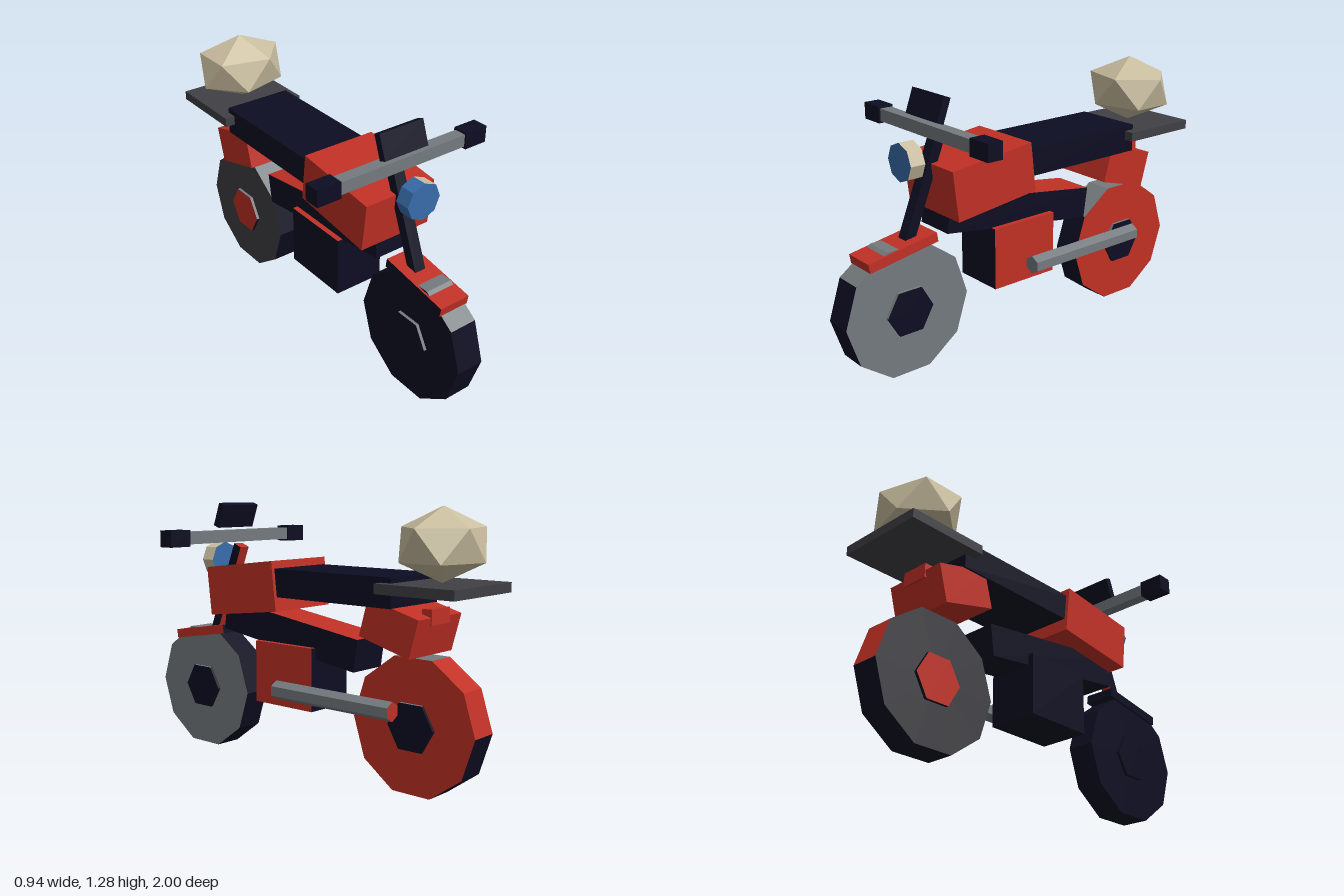
import * as THREE from 'three';
import { ConvexGeometry } from 'three/addons/geometries/ConvexGeometry.js';

const material = (name, color) => {
  const m = new THREE.MeshStandardMaterial({ color });
  m.name = name;
  return m;
};

export function createModel() {
  const model = new THREE.Group();
  model.name = 'motorcycle';

  const red = material('red', 0xc03025);
  const navy = material('navy', 0x0d0d22);
  const gray = material('gray', 0x747a7e);
  const darkGray = material('darkGray', 0x404045);
  const tan = material('tan', 0xcabe9f);
  const blue = material('blue', 0x386cab);

  const add = (name, geometry, mat, pos, tilt = 0) => {
    const mesh = new THREE.Mesh(geometry, mat);
    mesh.name = name;
    mesh.position.set(...pos);
    mesh.rotation.x = tilt;
    model.add(mesh);
    return mesh;
  };

  // box: one material, or six in the order +x, -x, +y, -y, +z, -z
  const box = (name, size, pos, mat, tilt) =>
    add(name, new THREE.BoxGeometry(...size), mat, pos, tilt);

  // faceted cylinder along x or z; sideMat(i) picks each side's material,
  // caps are [positive end, negative end]
  const prism = (name, radius, length, sides, axis, pos, sideMat, caps) => {
    const round = new THREE.CylinderGeometry(radius, radius, length, sides);
    const g = round.toNonIndexed();
    if (axis === 'x') g.rotateZ(-Math.PI / 2);
    else g.rotateX(Math.PI / 2);
    g.computeVertexNormals();
    g.clearGroups();
    const mats = [];
    for (let i = 0; i < sides; i++) {
      g.addGroup(i * 6, 6, i);
      mats.push(sideMat(i));
    }
    caps.forEach((cap, k) => {
      g.addGroup(sides * (6 + 3 * k), sides * 3, sides + k);
      mats.push(cap);
    });
    return add(name, g, mats, pos);
  };

  // wheels and hubs
  const hubSide = (i) => (i === 4 || i === 5 ? gray : navy);
  const frontTread = (i) => (i === 7 || i === 8 ? gray : navy);
  const rearTread = (i) => (i === 5 || i === 6 ? red : frontTread(i));
  prism('frontWheel', 0.325, 0.14, 10, 'x', [0, 0.31, 0.675], frontTread, [gray, navy]);
  prism('rearWheel', 0.325, 0.14, 10, 'x', [0, 0.31, -0.675], rearTread, [red, darkGray]);
  prism('frontHub', 0.122, 0.17, 6, 'x', [0, 0.31, 0.675], hubSide, [navy, navy]);
  prism('rearHub', 0.122, 0.17, 6, 'x', [0, 0.31, -0.675], hubSide, [navy, red]);

  // fenders and tail light
  box('frontFender', [0.16, 0.045, 0.365], [0, 0.6, 0.695],
    [red, navy, red, navy, red, navy], 0.165);
  box('rearFender', [0.33, 0.18, 0.28], [0, 0.754, -0.609], red, -0.27);
  box('tailLight', [0.14, 0.07, 0.05], [0, 0.805, -0.745], red);

  // chassis, engine and exhaust
  box('frame', [0.205, 0.155, 0.855], [0, 0.657, 0.042],
    [navy, navy, red, navy, navy, navy], -0.142);
  box('engine', [0.26, 0.305, 0.365], [0, 0.455, 0.0425],
    [red, navy, red, navy, navy, navy]);
  prism('exhaust', 0.045, 0.69, 6, 'z', [0.18, 0.395, -0.305], () => gray, [gray, red]);

  // tank, seat and rack
  box('tank', [0.385, 0.24, 0.448], [0, 0.866, 0.268], red, 0.118);
  box('seat', [0.35, 0.135, 0.71], [0, 0.9075, -0.275], navy);
  box('rack', [0.45, 0.045, 0.405], [0, 0.928, -0.777], darkGray);

  // steering: fork, handlebar, grips and dash
  box('fork', [0.058, 0.5, 0.05], [0, 0.83, 0.547],
    [navy, navy, red, navy, navy, red], -0.378);
  box('handlebar', [0.72, 0.06, 0.06], [0, 1.11, 0.49], gray);
  for (const s of [-1, 1])
    box(s > 0 ? 'leftGrip' : 'rightGrip', [0.122, 0.08, 0.078], [s * 0.408, 1.11, 0.49], navy);
  box('dash', [0.24, 0.12, 0.036], [0, 1.215, 0.492], navy, -0.35);

  // headlamp
  prism('headlamp', 0.09, 0.075, 8, 'z', [0, 0.985, 0.6125],
    (i) => (i < 4 ? tan : blue), [blue, blue]);

  // faceted bundle on the rack: two poles and two staggered rings of five
  const points = [new THREE.Vector3(0, 0.165, 0), new THREE.Vector3(0, -0.165, 0)];
  for (let i = 0; i < 5; i++) {
    const a = (i * Math.PI * 2) / 5;
    const x = 0.217 * Math.cos(a), z = 0.181 * Math.sin(a);
    points.push(new THREE.Vector3(x, 0.074, z), new THREE.Vector3(-x, -0.074, -z));
  }
  add('bundle', new ConvexGeometry(points), tan, [0, 1.114, -0.773]);

  return model;
}
